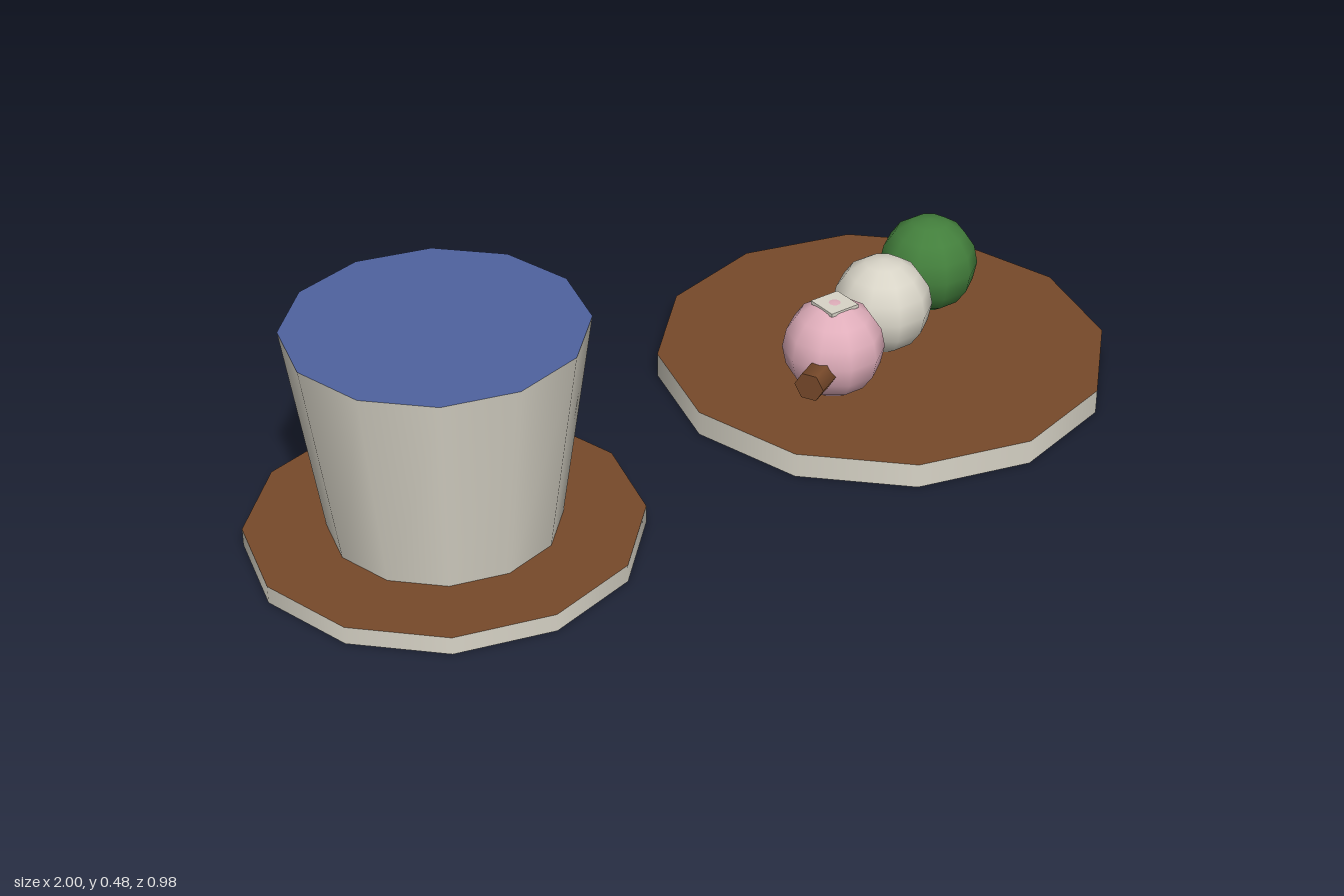
import * as THREE from 'three';

const mat = (name, color) => {
  const m = new THREE.MeshStandardMaterial({ color });
  m.name = name;
  return m;
};

export function createModel() {
  const cream = mat('cream ceramic', 0xd8d4c7);
  const brown = mat('brown wood', 0x77492a);
  const blue = mat('blue liquid', 0x4f629f);
  const pink = mat('pink dough', 0xe0aebb);
  const green = mat('green dough', 0x437f3c);

  const model = new THREE.Group();
  model.name = 'teaAndDumplings';
  const add = (parent, name, geometry, material, x, y, z) => {
    const mesh = new THREE.Mesh(geometry, material);
    mesh.name = name;
    mesh.position.set(x, y, z);
    parent.add(mesh);
    return mesh;
  };
  // Twelve-sided dish with its own colour on the top face
  const dish = (parent, name, rTop, rBottom, y0, y1, x, top) =>
    add(parent, name, new THREE.CylinderGeometry(rTop, rBottom, y1 - y0, 12),
      [cream, top, cream], x, (y0 + y1) / 2, 0);

  // Cup on its saucer
  const cupSet = new THREE.Group();
  cupSet.name = 'cupAndSaucer';
  model.add(cupSet);
  dish(cupSet, 'saucer', 0.4, 0.4, 0, 0.038, -0.6, brown);
  dish(cupSet, 'cup', 0.3, 0.232, 0.02, 0.483, -0.6, blue);

  // Plate with the skewer
  const plateSet = new THREE.Group();
  plateSet.name = 'plateAndSkewer';
  model.add(plateSet);
  dish(plateSet, 'plate', 0.488, 0.488, 0, 0.054, 0.51, brown);

  const stick = add(plateSet, 'stick',
    new THREE.CylinderGeometry(0.033, 0.033, 0.72, 6).rotateZ(Math.PI / 2),
    brown, 0.506, 0.137, -0.003);
  stick.rotation.y = 0.47;

  // Three dumplings along the stick
  const ball = new THREE.SphereGeometry(0.108, 10, 8);
  [['pink', pink], ['white', cream], ['green', green]].forEach(([n, m], i) =>
    add(plateSet, n + 'Dumpling', ball, m, 0.312 + 0.196 * i, 0.153, 0.08 - 0.08 * i));

  // Small pale topping, with the tip of the pink dumpling poking through
  add(plateSet, 'topping', new THREE.BoxGeometry(0.07, 0.008, 0.07), cream, 0.312, 0.2545, 0.08);

  return model;
}
